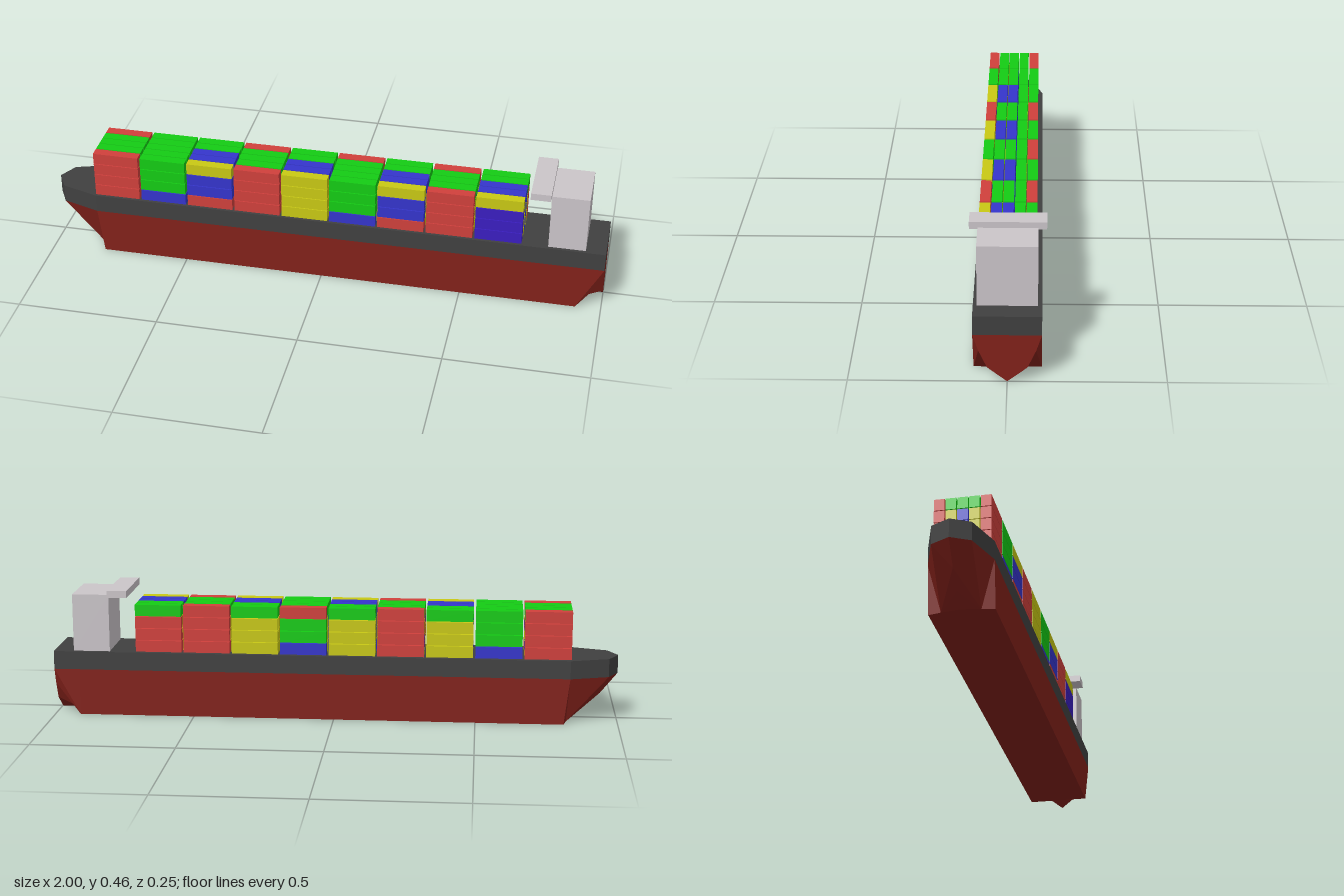
import * as THREE from 'three';

const mat = (color) => new THREE.MeshStandardMaterial({ color, flatShading: true });

const paint = {
  R: mat(0xd0403c), G: mat(0x14cc14), B: mat(0x3535cc),
  Y: mat(0xc8c814), P: mat(0x3a1ec0),
};
const hullRed = mat(0x82211a), hullDark = mat(0x404040), houseGrey = mat(0xcbc5c9);

const HALF = 0.108, WATER = 0.165, DECK = 0.23;

function box(name, material, [x0, x1], [y0, y1], [z0, z1]) {
  const mesh = new THREE.Mesh(new THREE.BoxGeometry(x1 - x0, y1 - y0, z1 - z0), material);
  mesh.position.set((x0 + x1) / 2, (y0 + y1) / 2, (z0 + z1) / 2);
  mesh.name = name;
  return mesh;
}

// Lower hull: half stations from keel to waterline, lofted bow to stern and mirrored
function lowerHull() {
  const stations = [
    [[-0.83, 0, 0], [-0.88, 0.04, 0], [-0.94, 0.09, 0], [-1, WATER, 0]],
    [[-0.825, 0, 0], [-0.825, 0, 0.035], [-0.82, 0, 0.065], [-0.965, WATER, 0.065]],
    [[-0.81, 0, 0], [-0.81, 0, 0.05], [-0.81, 0, HALF], [-0.83, WATER, HALF]],
    [[0.91, 0, 0], [0.91, 0, 0.05], [0.91, 0, HALF], [0.91, WATER, HALF]],
    [[1, 0, 0], [1, 0.05, 0.063], [1, 0.11, 0.09], [1, WATER, HALF]],
  ];
  const pos = [];
  const tri = (a, b, c) => {
    pos.push(...a, ...b, ...c);
    for (const [x, y, z] of [a, c, b]) pos.push(x, y, -z);
  };
  for (let i = 0; i < stations.length - 1; i++) {
    for (let j = 0; j < 3; j++) {
      const a = stations[i][j], b = stations[i + 1][j];
      const c = stations[i + 1][j + 1], d = stations[i][j + 1];
      tri(a, b, c);
      tri(a, c, d);
    }
  }
  // Transom
  const stern = stations[stations.length - 1];
  for (let j = 0; j < 3; j++) tri([1, WATER, 0], stern[j + 1], stern[j]);

  const geo = new THREE.BufferGeometry();
  geo.setAttribute('position', new THREE.Float32BufferAttribute(pos, 3));
  geo.computeVertexNormals();
  const mesh = new THREE.Mesh(geo, hullRed);
  mesh.name = 'lowerHull';
  return mesh;
}

// Dark upper band with the deck on top
function upperHull() {
  const side = [[-0.965, 0.065], [-0.83, HALF], [1, HALF]];
  const outline = [[-1, 0], ...side.map(([x, z]) => [x, -z]), ...[...side].reverse()];
  const shape = new THREE.Shape(outline.map(([x, y]) => new THREE.Vector2(x, y)));
  const geo = new THREE.ExtrudeGeometry(shape, { depth: DECK - WATER, bevelEnabled: false });
  geo.rotateX(-Math.PI / 2).translate(0, WATER, 0);
  const mesh = new THREE.Mesh(geo, hullDark);
  mesh.name = 'upperHull';
  return mesh;
}

// Container stacks: one entry per bay, rows from +z to -z, layers bottom to top
function containers() {
  const bays = [
    'RRRR YYYG BBBG YYYG RRRR',
    'BGGG YYYG BBBG YYYG BGGG',
    'RBBY YYYB BBBB YYYG YYYG',
    'RRRR YYYG BBBG YYYG RRRR',
    'YYYY YYYB BBBB YYYG YYYG',
    'BGGG YYYG BBBG YYYG BGGR',
    'RBBY YYYB BBBB YYYG YYYG',
    'RRRR YYYG BBBG YYYG RRRR',
    'PPPY YYYB BBBB YYYG RRRG',
  ];
  const group = new THREE.Group();
  group.name = 'containers';
  bays.forEach((bay, i) => bay.split(' ').forEach((stack, row) => {
    [...stack].forEach((c, layer) => {
      const x = -0.833 + i * 0.172, y = DECK + layer * 0.0432, z = 0.0975 - row * 0.0385;
      group.add(box('container', paint[c], [x, x + 0.164], [y, y + 0.0405], [z - 0.035, z]));
    });
  }));
  return group;
}

export function createModel() {
  const ship = new THREE.Group();
  ship.name = 'containerShip';
  ship.add(
    lowerHull(),
    upperHull(),
    containers(),
    box('deckHouse', houseGrey, [0.8, 0.93], [DECK, 0.435], [-0.095, 0.096]),
    box('bridge', houseGrey, [0.73, 0.8], [0.43, 0.455], [-0.122, 0.123]),
  );
  return ship;
}
